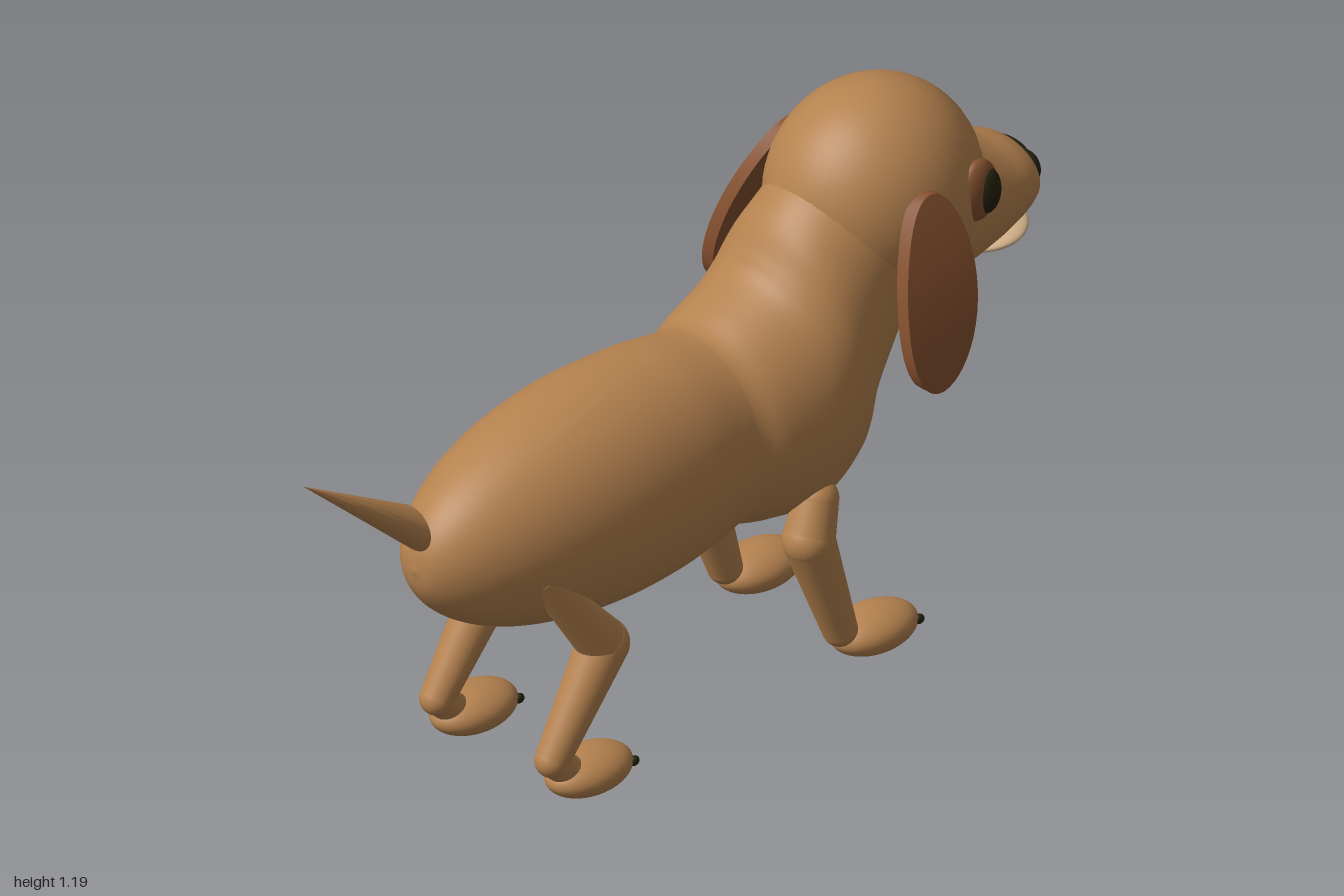
import * as THREE from 'three';
import { toCreasedNormals } from 'three/addons/utils/BufferGeometryUtils.js';

const V = (x, y, z = 0) => new THREE.Vector3(x, y, z);

function makeMaterial(name, color) {
  const m = new THREE.MeshStandardMaterial({ color });
  m.name = name;
  return m;
}

function addMesh(parent, name, geometry, material) {
  const mesh = new THREE.Mesh(geometry, material);
  mesh.name = name;
  parent.add(mesh);
  return mesh;
}

function ellipsoid(parent, name, material, centre, radii) {
  const mesh = addMesh(parent, name, new THREE.SphereGeometry(1, 40, 28), material);
  mesh.position.copy(centre);
  mesh.scale.copy(radii);
  return mesh;
}

// Smooth skin through oval sections [topX, topY, bottomX, bottomY, halfWidth]
function loft(sections, steps, around = 48) {
  const curve = pts => new THREE.CatmullRomCurve3(pts, false, 'catmullrom', 0.5);
  const top = curve(sections.map(s => V(s[0], s[1], s[4])));
  const bottom = curve(sections.map(s => V(s[2], s[3], s[4])));
  const pos = [], index = [];
  for (let i = 0; i <= steps; i++) {
    const a = top.getPoint(i / steps), b = bottom.getPoint(i / steps);
    for (let j = 0; j < around; j++) {
      const t = (j / around) * Math.PI * 2, k = (1 + Math.cos(t)) / 2;
      pos.push(b.x + (a.x - b.x) * k, b.y + (a.y - b.y) * k, a.z * Math.sin(t));
      if (i < steps) {
        const p = i * around + j, q = i * around + (j + 1) % around;
        index.push(p, q, p + around, q, q + around, p + around);
      }
    }
  }
  const g = new THREE.BufferGeometry();
  g.setAttribute('position', new THREE.Float32BufferAttribute(pos, 3));
  g.setIndex(index);
  g.computeVertexNormals();
  return g;
}

// Tapered limb segment with a ball at its far end
function limb(parent, name, material, a, b, ra, rb) {
  const dir = b.clone().sub(a);
  const mesh = addMesh(parent, name, new THREE.CylinderGeometry(rb, ra, dir.length(), 28), material);
  mesh.position.copy(a).addScaledVector(dir, 0.5);
  mesh.quaternion.setFromUnitVectors(V(0, 1, 0), dir.normalize());
  ellipsoid(parent, name + 'Joint', material, b, V(rb, rb, rb));
}

// Flat oval flap, tilted and curved away from the head
function earGeometry(side) {
  const profile = [new THREE.Vector2(0, -0.5)];
  for (let i = 1; i <= 8; i++) profile.push(new THREE.Vector2(i / 8, -0.5));
  for (let i = 8; i >= 0; i--) profile.push(new THREE.Vector2(i / 8, 0.5));
  const g = new THREE.LatheGeometry(profile, 48);
  g.rotateX(Math.PI / 2);
  const p = g.attributes.position;
  for (let i = 0; i < p.count; i++) {
    const u = p.getX(i), v = p.getY(i), d = (1 - v) / 2;
    const spread = 0.195 + 0.185 * d - 0.07 * d * d;
    const x = 0.515 + 0.095 * u * (1 - 0.08 * v) + 0.032 * v;
    p.setXYZ(i, x, 0.848 + 0.192 * v + 0.015 * u, side * spread + p.getZ(i) * 0.032);
  }
  return toCreasedNormals(g, 0.7);
}

export function createModel() {
  const dog = new THREE.Group();
  dog.name = 'dog';
  const fur = makeMaterial('tan fur', 0xb5824f);
  const brown = makeMaterial('brown', 0x85502f);
  const dark = makeMaterial('dark', 0x25220f);
  const cream = makeMaterial('cream lip', 0xd6b58c);

  // Torso: rounded rump, slight waist, chest, then neck rising into the head
  const torso = [];
  for (let k = 0; k <= 7; k++) {
    const a = (k / 7) * Math.PI / 2, s = Math.sin(a), x = -0.17 - 0.52 * Math.cos(a);
    torso.push([x, 0.578 + 0.253 * s, x, 0.578 - 0.253 * s, 0.215 * s]);
  }
  torso.push(
    [-0.03, 0.825, -0.03, 0.333, 0.208],
    [0.07, 0.811, 0.09, 0.357, 0.192],
    [0.11, 0.812, 0.13, 0.36, 0.19],
    [0.16, 0.835, 0.2, 0.342, 0.207],
    [0.24, 0.875, 0.33, 0.33, 0.22],
    [0.275, 0.915, 0.44, 0.4, 0.215],
    [0.31, 0.97, 0.49, 0.51, 0.2],
    [0.355, 1.015, 0.55, 0.6, 0.185],
    [0.42, 1.06, 0.615, 0.71, 0.175]);
  addMesh(dog, 'torsoAndNeck', loft(torso, 128), fur);

  // Head and muzzle
  ellipsoid(dog, 'head', fur, V(0.595, 0.95), V(0.237, 0.24, 0.213));
  addMesh(dog, 'muzzle', loft([
    [0.6, 1.03, 0.6, 0.71, 0.18],
    [0.74, 1.04, 0.72, 0.706, 0.172],
    [0.82, 0.99, 0.82, 0.722, 0.15],
    [0.88, 0.957, 0.88, 0.738, 0.135],
    [0.94, 0.932, 0.94, 0.762, 0.116],
    [0.972, 0.905, 0.972, 0.79, 0.088],
    [0.987, 0.845, 0.987, 0.845, 0]], 60), fur);
  const lip = ellipsoid(dog, 'lowerLip', cream, V(0.878, 0.752), V(0.1, 0.024, 0.12));
  lip.rotation.z = 0.12;

  // Nose with two lobes and nostrils
  ellipsoid(dog, 'noseBridge', dark, V(0.967, 0.877), V(0.03, 0.031, 0.065));
  for (const side of [1, -1]) {
    ellipsoid(dog, 'noseLobe', dark, V(0.967, 0.86, side * 0.05), V(0.03, 0.04, 0.04));
    ellipsoid(dog, 'nostril', dark, V(0.99, 0.85, side * 0.047), V(0.01, 0.014, 0.015));
  }

  // Tail: cone with an upright base, sheared upwards to the tip
  const tail = new THREE.ConeGeometry(0.055, 0.305, 32, 6);
  tail.rotateZ(Math.PI / 2);
  const tp = tail.attributes.position;
  for (let i = 0; i < tp.count; i++) {
    const x = tp.getX(i) - 0.8475;
    tp.setXYZ(i, x, 0.685 + tp.getY(i) * 0.92 + (-0.695 - x) * 0.74, tp.getZ(i));
  }
  addMesh(dog, 'tail', toCreasedNormals(tail, 0.7), fur);

  for (const side of [1, -1]) {
    const sideName = side > 0 ? 'left' : 'right';
    const P = (x, y, z) => V(x, y, side * z);

    // Eyes and ears
    ellipsoid(dog, sideName + 'EyeRim', brown, P(0.715, 0.97, 0.18), V(0.05, 0.07, 0.028));
    ellipsoid(dog, sideName + 'Pupil', dark, P(0.729, 0.968, 0.192), V(0.033, 0.052, 0.024));
    addMesh(dog, sideName + 'Ear', earGeometry(side), brown);

    // Front leg
    const front = new THREE.Group();
    front.name = sideName + 'FrontLeg';
    dog.add(front);
    ellipsoid(front, 'shoulder', fur, P(0.288, 0.41, 0.155), V(0.046, 0.046, 0.046));
    limb(front, 'upperLeg', fur, P(0.288, 0.41, 0.155), P(0.256, 0.33, 0.165), 0.046, 0.055);
    limb(front, 'lowerLeg', fur, P(0.256, 0.33, 0.165), P(0.34, 0.085, 0.168), 0.055, 0.037);

    // Hind leg
    const hind = new THREE.Group();
    hind.name = sideName + 'HindLeg';
    dog.add(hind);
    limb(hind, 'thigh', fur, P(-0.47, 0.53, 0.14), P(-0.318, 0.328, 0.165), 0.03, 0.054);
    limb(hind, 'shin', fur, P(-0.318, 0.328, 0.165), P(-0.465, 0.112, 0.168), 0.054, 0.036);
    limb(hind, 'ankle', fur, P(-0.465, 0.112, 0.168), P(-0.42, 0.07, 0.168), 0.034, 0.034);

    // Paws with claws
    for (const [leg, x] of [[front, 0.435], [hind, -0.362]]) {
      ellipsoid(leg, 'paw', fur, P(x, 0.05, 0.168), V(0.105, 0.047, 0.071));
      for (const dz of [-0.042, 0.042]) {
        ellipsoid(leg, 'claw', dark, P(x + 0.087, 0.05, 0.168 + dz), V(0.012, 0.011, 0.009));
      }
    }
  }
  return dog;
}
